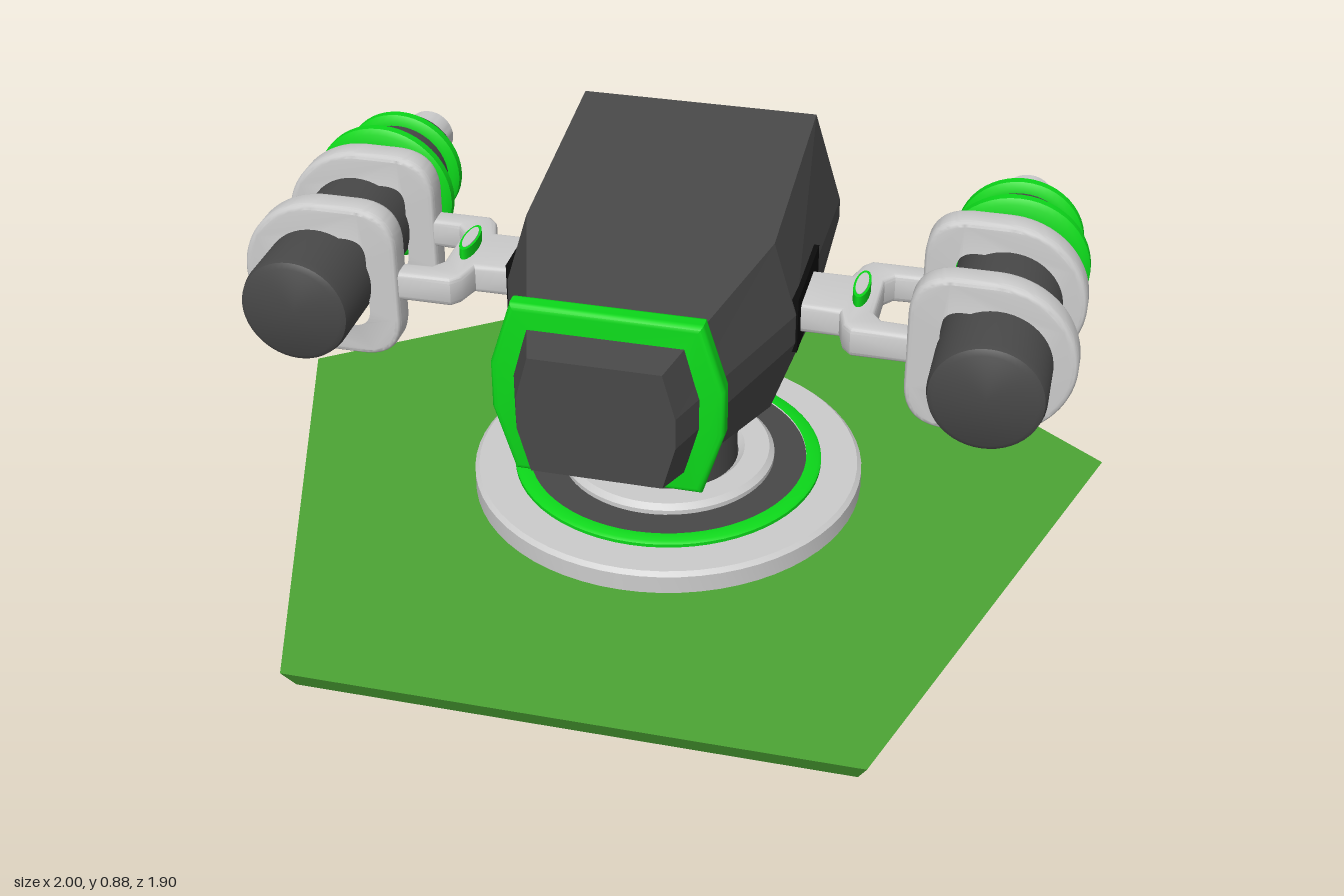
import * as THREE from 'three';
import { toCreasedNormals } from 'three/addons/utils/BufferGeometryUtils.js';

const mat = (color, extra = {}) => new THREE.MeshStandardMaterial({ color, ...extra });
const GREY = mat(0xcccccc);
const DARK = mat(0x484848);
const BLACK = mat(0x0c0c0c);
const GREEN = mat(0x0cd81a);
const PLATE = mat(0x4ca535);
const GLASS = mat(0x9fdc90, { side: THREE.DoubleSide });

function add(parent, name, geometry, material, x = 0, y = 0, z = 0) {
  const mesh = new THREE.Mesh(geometry, material);
  mesh.name = name;
  mesh.position.set(x, y, z);
  parent.add(mesh);
  return mesh;
}

// Revolved [radius, height] profile with sharp edges kept
const lathe = (pts, sides = 48) => toCreasedNormals(
  new THREE.LatheGeometry(pts.map(([r, h]) => new THREE.Vector2(r, h)), sides), 0.7);

// Bevelled slab whose outer size equals the shape, centred along its depth
function slab(shape, depth, bevel) {
  const g = new THREE.ExtrudeGeometry(shape, {
    depth: depth - 2 * bevel, bevelThickness: bevel, bevelSize: bevel,
    bevelOffset: -bevel, bevelSegments: 3, curveSegments: 20,
  });
  g.translate(0, 0, bevel - depth / 2);
  return toCreasedNormals(g, 0.6);
}

const polygon = (pts) => new THREE.Shape(pts.map(([x, y]) => new THREE.Vector2(x, y)));

// Mirrored eight-sided outline from four [x, y] rows, top to bottom
const mirrored = (rows) => [...rows, ...rows.slice().reverse().map(([x, ...rest]) => [-x, ...rest])];

// Round on the outboard side, square with soft corners inboard
function hoopPath(path, cx, r, inner, soft) {
  const cy = 0.6, t = cy + r, b = cy - r;
  path.moveTo(cx, t);
  path.absarc(cx, cy, r, Math.PI / 2, -Math.PI / 2, true);
  path.lineTo(inner + soft, b);
  path.quadraticCurveTo(inner, b, inner, b + soft);
  path.lineTo(inner, t - soft);
  path.quadraticCurveTo(inner, t, inner + soft, t);
  path.closePath();
  return path;
}

function buildBase(group) {
  const plate = add(group, 'groundPlate', new THREE.CylinderGeometry(1.05, 1.015, 0.05, 5).toNonIndexed(), PLATE, 0, 0.025, 0.1);
  plate.geometry.computeVertexNormals();
  plate.rotation.y = Math.PI;

  const z = 0.06;
  add(group, 'baseDisc', lathe([[0, 0.05], [0.455, 0.05], [0.455, 0.093], [0.445, 0.102], [0, 0.102]], 64), GREY, 0, 0, z);
  add(group, 'baseLightRing', lathe([[0.325, 0.1], [0.36, 0.1], [0.36, 0.11], [0.353, 0.115], [0.325, 0.115]], 64), GREEN, 0, 0, z);
  add(group, 'baseInset', lathe([[0.325, 0.1], [0.325, 0.111], [0, 0.111]], 64), DARK, 0, 0, z);
  add(group, 'columnFoot', lathe([[0.25, 0.1], [0.25, 0.122], [0.238, 0.134], [0.18, 0.134], [0.165, 0.12]], 64), GREY, 0, 0, z);
  add(group, 'column', new THREE.CylinderGeometry(0.163, 0.163, 0.25, 48), DARK, 0, 0.235, z);
  const collar = add(group, 'columnCollar', new THREE.CylinderGeometry(0.18, 0.175, 0.02, 48), GREY, 0, 0.355, z);
  collar.rotation.x = -0.155;
}

function buildHead(group) {
  // Cross-sections from back to front; each point is [x, y, z]
  const sections = [
    mirrored([[0.272, 0.875, -0.25], [0.322, 0.62, -0.335], [0.322, 0.57, -0.335], [0.272, 0.315, -0.25]]),
    mirrored([[0.272, 0.8, 0.23], [0.322, 0.63, 0.23], [0.322, 0.56, 0.23], [0.272, 0.39, 0.23]]),
    mirrored([[0.138, 0.73, 0.68], [0.165, 0.63, 0.68], [0.165, 0.56, 0.68], [0.138, 0.46, 0.68]]),
  ];
  const pos = [];
  const quad = (a, b, c, d) => pos.push(...a, ...b, ...c, ...a, ...c, ...d);
  for (let s = 0; s < 2; s++) {
    for (let i = 0; i < 8; i++) {
      const j = (i + 1) % 8;
      quad(sections[s][i], sections[s + 1][i], sections[s + 1][j], sections[s][j]);
    }
  }
  const [back, , front] = sections;
  for (let k = 0; k < 3; k++) quad(front[k], front[7 - k], front[6 - k], front[k + 1]);
  for (let k = 1; k < 3; k++) quad(back[k], back[k + 1], back[6 - k], back[7 - k]);

  // Window frame and its recess
  const outer = [back[0], back[1], back[6], back[7]];
  const at = (t, w) => [w, 0.875 - 0.255 * t, -0.25 - 0.085 * t];
  const rim = [at(0.08, 0.247), at(0.93, 0.289), at(0.93, -0.289), at(0.08, -0.247)];
  const deep = rim.map(([x, y, z]) => [x, y - 0.005, z + 0.02]);
  for (let i = 0; i < 4; i++) {
    const j = (i + 1) % 4;
    quad(outer[i], outer[j], rim[j], rim[i]);
    quad(rim[i], rim[j], deep[j], deep[i]);
  }
  const hull = new THREE.BufferGeometry();
  hull.setAttribute('position', new THREE.Float32BufferAttribute(pos, 3));
  hull.computeVertexNormals();
  add(group, 'headHull', hull, DARK);

  // Slightly hollow glass pane
  const pane = new THREE.PlaneGeometry(1, 1, 12, 8);
  const p = pane.attributes.position;
  for (let i = 0; i < p.count; i++) {
    const u = p.getX(i) * 2, t = 0.5 - p.getY(i);
    const [x, y, z] = at(0.08 + 0.85 * t, -u * (0.247 + 0.042 * t));
    p.setXYZ(i, x, y - 0.005, z + 0.017 + 0.02 * (1 - u * u) * 4 * t * (1 - t));
  }
  pane.computeVertexNormals();
  add(group, 'rearWindow', pane, GLASS);

  // Light band around the nose
  const band = polygon(mirrored([[0.2, 0.797], [0.246, 0.65], [0.246, 0.545], [0.2, 0.395]]));
  band.holes.push(polygon(mirrored([[0.155, 0.74], [0.192, 0.63], [0.192, 0.56], [0.155, 0.45]])));
  add(group, 'noseBand', slab(band, 0.048, 0.014), GREEN, 0, 0, 0.572);
}

function buildArm() {
  const arm = new THREE.Group();
  add(arm, 'armSlot', new THREE.BoxGeometry(0.05, 0.13, 0.25), BLACK, 0.301, 0.6, 0.1);

  // Forked bracket, drawn in x and z
  const fork = slab(polygon([
    [0.3, 0.03], [0.41, 0.03], [0.425, -0.02], [0.445, -0.042], [0.6, -0.042], [0.6, 0.01], [0.505, 0.015], [0.485, 0.04],
    [0.485, 0.18], [0.505, 0.205], [0.6, 0.21], [0.6, 0.262], [0.445, 0.262], [0.425, 0.24], [0.41, 0.19], [0.3, 0.19],
  ]), 0.07, 0.012).rotateX(Math.PI / 2);
  add(arm, 'armFork', fork, GREY, 0, 0.598, 0);
  const lamp = add(arm, 'armLamp', new THREE.CylinderGeometry(0.018, 0.018, 0.03, 24), GREEN, 0.445, 0.643, 0.11);
  lamp.scale.z = 3.3;
  const cap = add(arm, 'armLampCap', new THREE.CylinderGeometry(0.013, 0.013, 0.006, 24), GREY, 0.445, 0.657, 0.11);
  cap.scale.z = 3.6;

  // Hoops holding the barrel
  const hoop = hoopPath(new THREE.Shape(), 0.74, 0.185, 0.565, 0.1);
  hoop.holes.push(hoopPath(new THREE.Path(), 0.75, 0.122, 0.622, 0.06));
  const hoopGeometry = slab(hoop, 0.066, 0.012);
  for (const z of [0.238, -0.018]) add(arm, 'barrelHoop', hoopGeometry, GREY, 0, 0, z);

  // Barrel and its rear fittings, revolved about the z axis
  const barrel = new THREE.Group();
  barrel.name = 'barrel';
  barrel.position.set(0.75, 0.6, 0);
  barrel.rotation.x = Math.PI / 2;
  arm.add(barrel);
  add(barrel, 'barrelBody', lathe([
    [0, -0.372], [0.085, -0.372], [0.105, -0.365], [0.118, -0.345], [0.122, -0.31],
    [0.124, 0.4], [0.12, 0.416], [0.108, 0.424], [0, 0.424],
  ]), DARK);
  add(barrel, 'nozzle', lathe([
    [0.06, -0.36], [0.06, -0.487], [0.045, -0.487], [0.042, -0.38], [0, -0.38],
  ].reverse().map(([r, h]) => [r, h])), mat(0xcccccc, { side: THREE.DoubleSide }));
  for (const [h, r] of [[-0.16, 0.17], [-0.288, 0.146]]) {
    add(barrel, 'barrelLightRing', lathe([
      [0.115, h - 0.02], [r - 0.012, h - 0.02], [r, h - 0.01], [r, h + 0.01], [r - 0.012, h + 0.02], [0.115, h + 0.02],
    ]), GREEN);
  }
  return arm;
}

export function createModel() {
  const group = new THREE.Group();
  group.name = 'sentryTurret';
  buildBase(group);
  buildHead(group);
  for (const side of [1, -1]) {
    const arm = buildArm();
    arm.name = side > 0 ? 'leftArm' : 'rightArm';
    arm.scale.x = side;
    group.add(arm);
  }
  return group;
}
